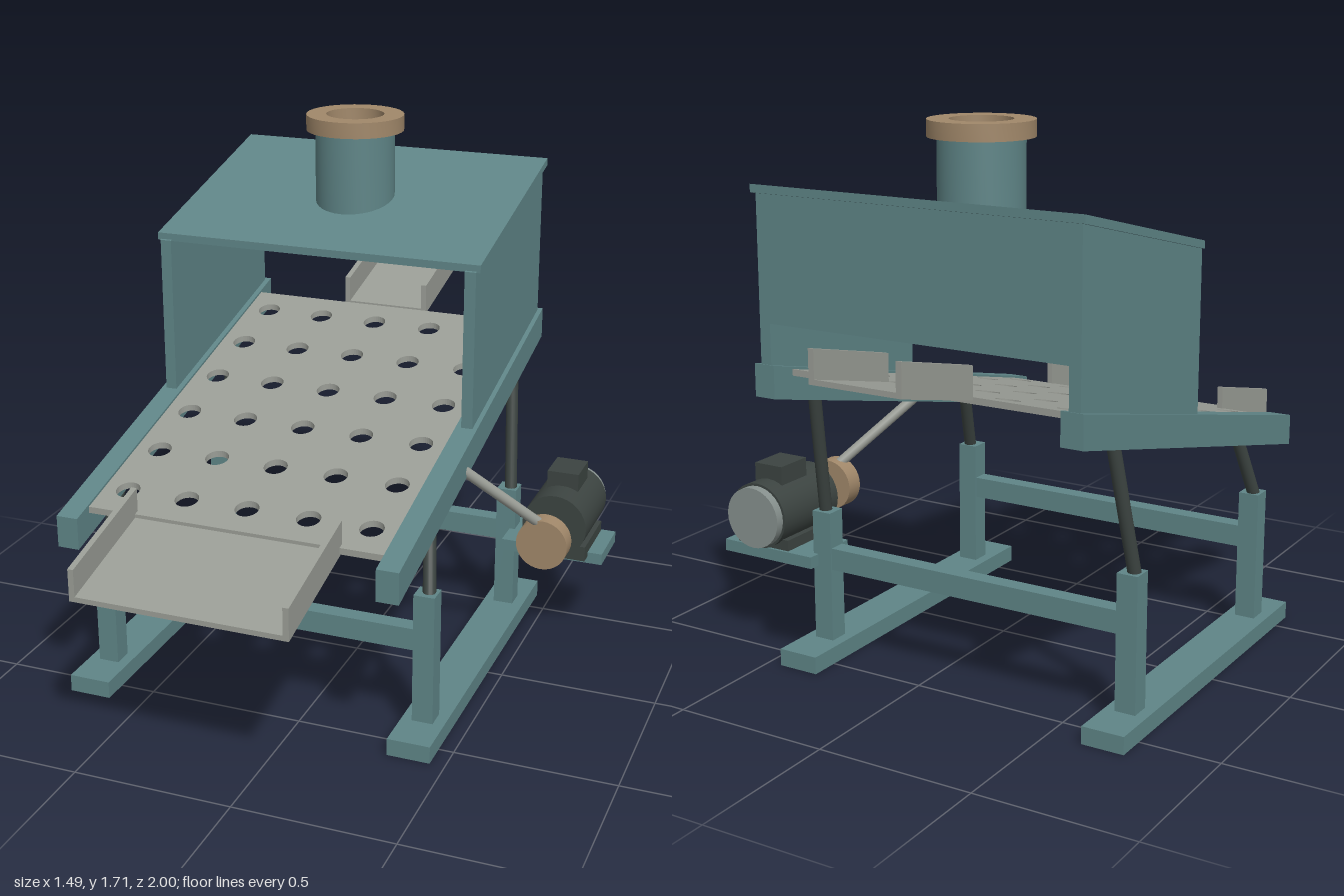
import * as THREE from 'three';
import { toCreasedNormals } from 'three/addons/utils/BufferGeometryUtils.js';

const SLOPE = 0.239; // rise towards the back
const CX = -0.147; // centre line of the machine body

const paint = (color) => new THREE.MeshStandardMaterial({ color });
const teal = paint(0x5f8587);
const steel = paint(0x9a9d96);
const dark = paint(0x3c4441);
const tan = paint(0xa1886a);
const capGrey = paint(0x87918e);

// Tilts a geometry by sliding every point up as z goes back
const shear = new THREE.Matrix4().set(1, 0, 0, 0, 0, 1, -SLOPE, 0, 0, 0, 1, 0, 0, 0, 0, 1);

export function createModel() {
  const model = new THREE.Group();

  const add = (name, geometry, material, parent = model) => {
    const mesh = new THREE.Mesh(geometry, material);
    mesh.name = name;
    parent.add(mesh);
    return mesh;
  };
  const group = (name) => {
    const g = new THREE.Group();
    g.name = name;
    model.add(g);
    return g;
  };
  const boxGeo = (x0, x1, y0, y1, z0, z1) =>
    new THREE.BoxGeometry(x1 - x0, y1 - y0, z1 - z0)
      .translate((x0 + x1) / 2, (y0 + y1) / 2, (z0 + z1) / 2);
  // Box on the slope: y values are those at z = 0
  const slopedBox = (...size) => boxGeo(...size).applyMatrix4(shear);
  // Sloped sheet with round holes given as [x, z, radius]
  const slopedSheet = (x0, x1, y0, y1, z0, z1, holes) => {
    const shape = new THREE.Shape([[x0, -z1], [x1, -z1], [x1, -z0], [x0, -z0]]
      .map(([x, y]) => new THREE.Vector2(x, y)));
    for (const [x, z, r] of holes) {
      shape.holes.push(new THREE.Path().absarc(x, -z, r, 0, Math.PI * 2, true));
    }
    return new THREE.ExtrudeGeometry(shape, { depth: y1 - y0, bevelEnabled: false, curveSegments: 16 })
      .rotateX(-Math.PI / 2).translate(0, y0, 0).applyMatrix4(shear);
  };
  // Round rod between two points
  const rod = (name, from, to, radius, material, parent, sides = 20) => {
    const a = new THREE.Vector3(...from), b = new THREE.Vector3(...to);
    const mesh = add(name, new THREE.CylinderGeometry(radius, radius, a.distanceTo(b), sides), material, parent);
    mesh.position.lerpVectors(a, b, 0.5);
    mesh.quaternion.setFromUnitVectors(new THREE.Vector3(0, 1, 0), b.clone().sub(a).normalize());
    return mesh;
  };
  // Hollow ring around a vertical axis
  const ringGeo = (inner, outer, y0, y1) => toCreasedNormals(new THREE.LatheGeometry(
    [[outer, y0], [outer, y1], [inner, y1], [inner, y0], [outer, y0]]
      .map(([x, y]) => new THREE.Vector2(x, y)), 32), 0.6);

  // Base frame, rails, hood walls and swing links, mirrored about the centre line
  const frame = group('baseFrame');
  const hood = group('hood');
  const links = group('swingLinks');
  for (const [side, s] of [['left', 1], ['right', -1]]) {
    const span = (a, b) => [CX + s * a, CX + s * b].sort((p, q) => p - q);
    add(side + 'Skid', boxGeo(...span(0.465, 0.6), 0, 0.055, -0.595, 0.585), teal, frame);
    for (const [end, z] of [['Front', 0.426], ['Rear', -0.426]]) {
      add(side + end + 'Post', boxGeo(...span(0.499, 0.565), 0.055, 0.475, z - 0.032, z + 0.032), teal, frame);
    }
    rod(side + 'FrontLink', [CX + s * 0.54, 0.45, 0.43], [CX + s * 0.505, 0.69, 0.335], 0.02, dark, links);
    rod(side + 'RearLink', [CX + s * 0.54, 0.45, -0.42], [CX + s * 0.505, 0.89, -0.513], 0.02, dark, links);
    add(side + 'Rail', slopedBox(...span(0.472, 0.541), 0.733, 0.833, -0.742, 0.703), teal);
    add(side + 'HoodWall', slopedBox(...span(0.49, 0.526), 0.825, 1.334, -0.73, -0.003), teal, hood);
  }
  for (const [end, z] of [['front', 0.426], ['rear', -0.426]]) {
    add(end + 'Crossbar', boxGeo(CX - 0.5, CX + 0.5, 0.29, 0.36, z - 0.027, z + 0.027), teal, frame);
  }

  // Perforated deck
  const holes = [];
  for (let row = 0; row < 6; row++) {
    for (let col = -2; col <= 2; col++) holes.push([CX + col * 0.197, 0.525 - row * 0.2145, 0.037]);
  }
  add('screenDeck', slopedSheet(CX - 0.474, CX + 0.474, 0.806, 0.826, -0.655, 0.63, holes), steel);

  // Open trays at both ends of the deck
  const chute = (name, half, y0, height, z0, z1) => {
    const g = group(name);
    add('chuteFloor', slopedBox(CX - half, CX + half, y0, y0 + 0.016, z0, z1), steel, g);
    for (const s of [-1, 1]) {
      const x = CX + s * (half - 0.009);
      add('chuteWall', slopedBox(x - 0.009, x + 0.009, y0, y0 + height, z0, z1), steel, g);
    }
  };
  chute('frontChute', 0.335, 0.799, 0.1, 0.612, 1);
  chute('rearChute', 0.149, 0.816, 0.1, -1, -0.655);

  // Hood roof, back panel and feed spout
  const spoutZ = -0.365;
  add('hoodRoof', slopedSheet(CX - 0.538, CX + 0.538, 1.33, 1.354, -0.74, -0.01, [[CX, spoutZ, 0.1]]), teal, hood);
  add('hoodBackPanel', boxGeo(CX - 0.495, CX + 0.495, 1.13, 1.505, -0.73, -0.7), teal, hood);
  add('feedSpout', ringGeo(0.093, 0.128, 1.37, 1.66), teal).position.set(CX, 0, spoutZ);
  add('spoutFlange', ringGeo(0.093, 0.157, 1.66, 1.71), tan).position.set(CX, 0, spoutZ);

  // Motor on its shelf, with the drive to the rail
  const drive = group('motorDrive');
  const mx = 0.593, my = 0.442;
  const alongZ = (name, r, z0, z1, material) =>
    rod(name, [mx, my, z0], [mx, my, z1], r, material, drive, 32);
  add('motorShelf', boxGeo(0.4, 0.74, 0.297, 0.335, -0.497, -0.303), teal, drive);
  add('motorFoot', boxGeo(0.495, 0.692, 0.32, 0.37, -0.488, -0.263), dark, drive);
  alongZ('motorBody', 0.106, -0.51, -0.233, dark);
  alongZ('motorEndCap', 0.098, -0.538, -0.51, capGrey);
  add('junctionBox', boxGeo(0.541, 0.645, 0.5, 0.594, -0.452, -0.325), dark, drive);
  alongZ('motorShaft', 0.022, -0.24, -0.09, steel);
  alongZ('eccentricPulley', 0.083, -0.137, -0.078, tan);
  rod('connectingRod', [0.585, 0.5, -0.107], [0.37, 0.745, 0.098], 0.017, steel, drive);

  return model;
}
